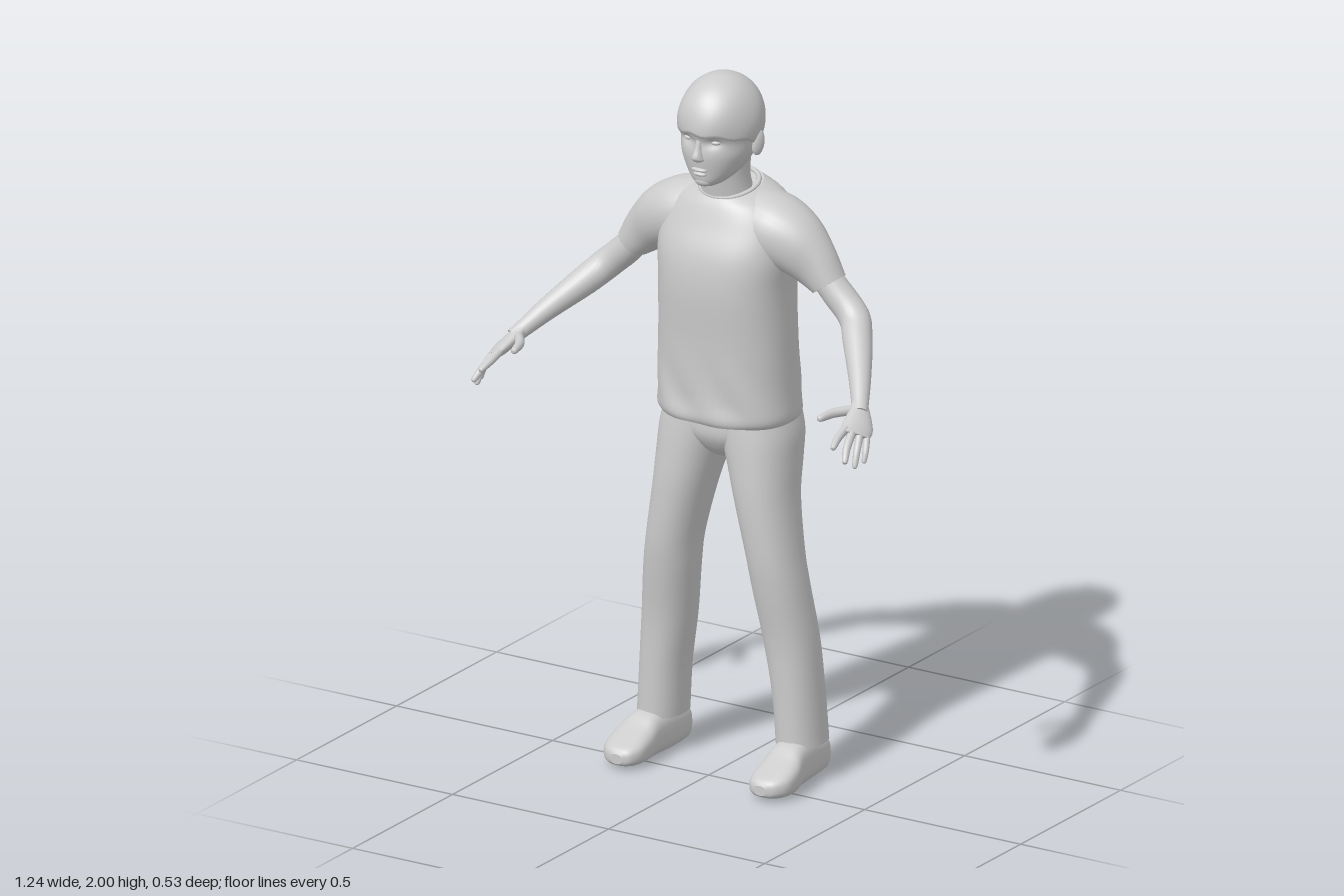
import * as THREE from 'three';

const clay = new THREE.MeshStandardMaterial({ color: 0xcccccc, side: THREE.DoubleSide });
clay.name = 'light grey';
const V = (x, y, z) => new THREE.Vector3(x, y, z);

// Skins closed rows of points, with flat caps that keep a crisp rim
function skin(name, rows, caps = true) {
  const n = rows[0].length, pos = [], idx = [];
  rows.forEach(r => r.forEach(p => pos.push(p.x, p.y, p.z)));
  for (let i = 0; i < rows.length - 1; i++) for (let j = 0; j < n; j++) {
    const a = i * n + j, b = i * n + (j + 1) % n;
    idx.push(a, b, a + n, b, b + n, a + n);
  }
  if (caps) [rows[0], rows[rows.length - 1]].forEach((r, k) => {
    const base = pos.length / 3, c = V(0, 0, 0);
    r.forEach(p => { pos.push(p.x, p.y, p.z); c.addScaledVector(p, 1 / n); });
    pos.push(c.x, c.y, c.z);
    for (let j = 0; j < n; j++) {
      const a = base + j, b = base + (j + 1) % n;
      k ? idx.push(a, b, base + n) : idx.push(b, a, base + n);
    }
  });
  // Turn all faces outward
  const pt = i => V(pos[3 * i], pos[3 * i + 1], pos[3 * i + 2]);
  const o = new THREE.Box3().setFromPoints(rows.flat()).getCenter(V(0, 0, 0));
  let vol = 0;
  for (let i = 0; i < idx.length; i += 3) {
    const [a, b, c] = [0, 1, 2].map(k => pt(idx[i + k]).sub(o));
    vol += a.dot(b.cross(c));
  }
  if (vol < 0) idx.reverse();
  const g = new THREE.BufferGeometry();
  g.setAttribute('position', new THREE.Float32BufferAttribute(pos, 3));
  g.setIndex(idx);
  g.computeVertexNormals();
  const m = new THREE.Mesh(g, clay);
  m.name = name;
  return m;
}

// Smooth loft through rings [centre xyz, axis u xyz, axis v xyz], superelliptic with power p
function loft(name, rings, { n = 32, p = 2, sub = 5, warp } = {}) {
  const at = i => rings[Math.max(0, Math.min(rings.length - 1, i))];
  const cr = (a, b, c, d, t) => b + 0.5 * t * (c - a + t * (2 * a - 5 * b + 4 * c - d + t * (3 * (b - c) + d - a)));
  const rows = [], steps = (rings.length - 1) * sub;
  for (let s = 0; s <= steps; s++) {
    const i = Math.min(Math.floor(s / sub), rings.length - 2), t = s / sub - i;
    const q = at(i).map((_, k) => cr(at(i - 1)[k], at(i)[k], at(i + 1)[k], at(i + 2)[k], t));
    const row = [];
    for (let j = 0; j < n; j++) {
      const a = j / n * Math.PI * 2, c = Math.cos(a), d = Math.sin(a);
      const e = Math.sign(c) * Math.abs(c) ** (2 / p), f = Math.sign(d) * Math.abs(d) ** (2 / p);
      const w = V(q[0] + e * q[3] + f * q[6], q[1] + e * q[4] + f * q[7], q[2] + e * q[5] + f * q[8]);
      if (warp) warp(w);
      row.push(w);
    }
    rows.push(row);
  }
  return skin(name, rows);
}

// Level ring from its extents; tilt lowers the front
const level = (y, x0, x1, z0, z1, tilt = 0) =>
  [(x0 + x1) / 2, y, (z0 + z1) / 2, (x1 - x0) / 2, 0, 0, 0, -tilt, (z1 - z0) / 2];

// Round limb through [x, y, z, radius] points
function limb(name, pts, n = 16) {
  const rings = pts.map((q, i) => {
    const a = pts[Math.max(0, i - 1)], b = pts[Math.min(pts.length - 1, i + 1)];
    const t = V(b[0] - a[0], b[1] - a[1], b[2] - a[2]).normalize();
    const u = V(0, 1, 0).addScaledVector(t, -t.y).normalize(), v = t.clone().cross(u);
    return [q[0], q[1], q[2], ...u.multiplyScalar(q[3]).toArray(), ...v.multiplyScalar(q[3]).toArray()];
  });
  return loft(name, rings, { n });
}

function blob(name, x, y, z, rx, ry, rz) {
  const m = new THREE.Mesh(new THREE.SphereGeometry(1, 20, 14), clay);
  m.name = name;
  m.position.set(x, y, z);
  m.scale.set(rx, ry, rz);
  return m;
}

function makeHead() {
  const g = new THREE.Group();
  g.name = 'head';
  g.add(loft('neck', [
    level(1.62, -0.08, 0.08, -0.18, -0.03), level(1.69, -0.069, 0.069, -0.155, -0.018),
    level(1.74, -0.068, 0.068, -0.155, -0.01), level(1.8, -0.075, 0.075, -0.165, -0.01)]));
  g.add(loft('face', [
    level(1.702, -0.022, 0.022, -0.03, 0.024), level(1.715, -0.045, 0.045, -0.07, 0.04),
    level(1.745, -0.074, 0.074, -0.12, 0.046), level(1.79, -0.096, 0.096, -0.16, 0.053),
    level(1.83, -0.103, 0.103, -0.18, 0.052), level(1.87, -0.108, 0.108, -0.185, 0.06),
    level(1.93, -0.09, 0.09, -0.165, 0.04), level(1.975, -0.04, 0.04, -0.11, -0.02)],
  { n: 64, p: 2.15, sub: 8, warp: w => { // eye sockets
    const d = ((Math.abs(w.x) - 0.042) / 0.022) ** 2 + ((w.y - 1.836) / 0.015) ** 2;
    if (w.z > 0) w.z -= 0.011 * Math.exp(-d);
  } }));
  // Hair cap: low at the nape, short over the brow
  const rows = [];
  for (let i = 0; i <= 25; i++) {
    const row = [];
    for (let j = 0; j < 48; j++) {
      const a = j / 48 * Math.PI * 2, c = Math.cos(a);
      const end = (112 - 22 * c + 6 * c * c + 1.5 * Math.sin(9 * a)) * Math.PI / 180;
      const f = end * Math.min(i, 24) / 24, k = (i === 25 ? 0.88 : 1) * (1 + 0.01 * Math.sin(5 * a + 4 * f) * Math.sin(f));
      row.push(V(0.114 * k * Math.sin(f) * Math.sin(a), 1.87 + 0.13 * Math.cos(f), -0.066 + 0.133 * k * Math.sin(f) * c));
    }
    rows.push(row);
  }
  g.add(skin('hair', rows, false));
  g.add(loft('nose', [
    level(1.778, -0.008, 0.008, 0.03, 0.056), level(1.785, -0.018, 0.018, 0.03, 0.068),
    level(1.796, -0.015, 0.015, 0.03, 0.073), level(1.82, -0.01, 0.01, 0.03, 0.062),
    level(1.85, -0.01, 0.01, 0.03, 0.052)], { n: 16 }));
  g.add(blob('upperLip', 0, 1.755, 0.045, 0.025, 0.006, 0.012));
  g.add(blob('lowerLip', 0, 1.742, 0.042, 0.021, 0.007, 0.012));
  g.add(blob('chin', 0, 1.718, 0.025, 0.028, 0.016, 0.018));
  for (const s of [-1, 1]) {
    g.add(blob('eye', s * 0.042, 1.836, 0.026, 0.016, 0.008, 0.015));
    const brow = blob('eyebrow', s * 0.043, 1.856, 0.041, 0.023, 0.005, 0.009);
    brow.rotation.set(0, s * 0.35, s * 0.12);
    g.add(brow);
    const ear = blob('ear', s * 0.106, 1.815, -0.082, 0.012, 0.036, 0.021);
    ear.rotation.set(-0.2, s * -0.3, 0);
    g.add(ear);
  }
  return g;
}

function makeShirt() {
  const g = new THREE.Group();
  g.name = 'shirt';
  g.add(loft('shirtBody', [
    level(1.02, -0.195, 0.195, -0.258, 0.04), level(1.04, -0.203, 0.203, -0.262, 0.047),
    level(1.1, -0.2, 0.2, -0.252, 0.043), level(1.25, -0.194, 0.194, -0.245, 0.047),
    level(1.4, -0.19, 0.19, -0.248, 0.056), level(1.5, -0.197, 0.197, -0.25, 0.045),
    level(1.58, -0.19, 0.19, -0.248, 0.012), level(1.64, -0.15, 0.15, -0.228, -0.01, 0.01),
    level(1.672, -0.088, 0.088, -0.192, -0.024, 0.02)],
  { n: 64, p: 2.4, warp: w => { // hem folds and spine hollow
    const hem = Math.max(0, 1 - Math.abs(w.y - 1.08) / 0.15);
    w.z += 0.005 * hem * Math.sin(w.x * 45 + w.y * 30);
    if (w.z < -0.15) w.z += 0.018 * Math.exp(-((w.x / 0.045) ** 2)) * Math.exp(-(((w.y - 1.35) / 0.18) ** 2));
  } }));
  const collar = new THREE.Mesh(new THREE.TorusGeometry(0.08, 0.007, 10, 40), clay);
  collar.name = 'collar';
  collar.rotation.x = Math.PI / 2 + 0.24;
  collar.position.set(0, 1.673, -0.107);
  g.add(collar);
  for (const s of [-1, 1]) g.add(loft('sleeve', [
    [0.06, 1.572, -0.125, 0.005, 0.1, 0, 0, 0, 0.1], [0.15, 1.56, -0.12, 0.018, 0.095, 0, 0, 0, 0.105],
    [0.225, 1.53, -0.117, 0.025, 0.082, 0, 0, 0, 0.085], [0.275, 1.485, -0.117, 0.035, 0.058, 0, 0, 0, 0.062],
    [0.312, 1.437, -0.117, 0.04, 0.028, 0, 0, 0, 0.051],
  ].map(r => [s * r[0], r[1], r[2], s * r[3], ...r.slice(4)]), { p: 2.1 }));
  return g;
}

function makeArm(s) {
  const g = new THREE.Group();
  g.name = s > 0 ? 'leftArm' : 'rightArm';
  const mir = pts => pts.map(q => [s * q[0], ...q.slice(1)]);
  g.add(limb('arm', mir([[0.28, 1.475, -0.118, 0.04], [0.335, 1.415, -0.122, 0.043], [0.395, 1.36, -0.112, 0.043],
    [0.435, 1.318, -0.066, 0.041], [0.5, 1.25, 0.024, 0.031], [0.54, 1.203, 0.085, 0.024], [0.555, 1.185, 0.11, 0.022]]), 24));
  // Palm widens from the wrist to the knuckles
  g.add(loft('palm', [
    [0.535, 1.208, 0.078, 0.012, -0.01, -0.014, 0.012, 0.014, 0.004],
    [0.555, 1.182, 0.11, 0.022, -0.013, -0.02, 0.012, 0.014, 0.004],
    [0.572, 1.157, 0.148, 0.03, -0.016, -0.029, 0.011, 0.013, 0.004],
    [0.58, 1.145, 0.176, 0.028, -0.016, -0.029, 0.007, 0.009, 0.003]].map(r => r.map((v, k) => k % 3 ? v : s * v)), { n: 24 }));
  const fingers = {
    thumb: [0.54, 1.192, 0.11, 0.503, 1.19, 0.16, 0.488, 1.186, 0.214, 0.013],
    indexFinger: [0.555, 1.163, 0.18, 0.557, 1.148, 0.222, 0.565, 1.13, 0.262, 0.011],
    middleFinger: [0.573, 1.152, 0.178, 0.583, 1.124, 0.218, 0.596, 1.09, 0.25, 0.011],
    ringFinger: [0.589, 1.142, 0.165, 0.6, 1.108, 0.195, 0.606, 1.068, 0.216, 0.01],
    littleFinger: [0.6, 1.135, 0.146, 0.611, 1.105, 0.168, 0.614, 1.074, 0.182, 0.009],
  };
  for (const [name, f] of Object.entries(fingers)) {
    const r = f[9], tip = V(...f.slice(6, 9)), mid = V(...f.slice(3, 6));
    const near = tip.clone().lerp(mid, 0.15).toArray();
    g.add(limb(name, mir([[...f.slice(0, 3), r * 1.1], [...mid.toArray(), r], [...near, r * 0.75], [...tip.toArray(), r * 0.25]]), 12));
  }
  return g;
}

function makeLeg(s) {
  const g = new THREE.Group();
  g.name = s > 0 ? 'leftLeg' : 'rightLeg';
  // Trouser leg rows: height, inner x, outer x, back z, front z
  const rows = [[1.05, -0.02, 0.185, -0.245, -0.005], [0.98, -0.01, 0.203, -0.243, 0.002], [0.9, 0.018, 0.207, -0.222, 0.007],
    [0.8, 0.048, 0.212, -0.193, 0.01], [0.65, 0.085, 0.232, -0.175, 0.004], [0.55, 0.1, 0.248, -0.176, -0.008],
    [0.4, 0.122, 0.267, -0.192, -0.031], [0.25, 0.147, 0.278, -0.2, -0.038], [0.108, 0.158, 0.287, -0.205, -0.04]];
  g.add(loft('trouserLeg', rows.map(([y, a, b, c, d]) => level(y, s * a, s * b, c, d)), { n: 40, p: 2.2 }));
  // Shoe rows from heel to toe: z, centre x, half width, bottom, top
  const shoe = [[-0.204, 0.222, 0.028, 0.02, 0.075], [-0.19, 0.222, 0.047, 0.006, 0.115], [-0.12, 0.224, 0.051, 0, 0.13],
    [-0.04, 0.23, 0.055, 0, 0.125], [0.01, 0.235, 0.062, 0, 0.098], [0.06, 0.235, 0.06, 0.003, 0.075],
    [0.092, 0.232, 0.042, 0.01, 0.06], [0.104, 0.23, 0.018, 0.018, 0.046]];
  g.add(loft('shoe', shoe.map(([z, x, w, b, t]) => [s * x, (b + t) / 2, z, w, 0, 0, 0, (t - b) / 2, 0]), { p: 2.7 }));
  return g;
}

export function createModel() {
  const model = new THREE.Group();
  model.name = 'standingFigure';
  model.add(makeHead(), makeShirt());
  model.add(loft('trouserSeat', [
    level(1.05, -0.18, 0.18, -0.24, -0.005), level(0.98, -0.165, 0.165, -0.235, 0),
    level(0.935, -0.1, 0.1, -0.205, -0.02), level(0.905, -0.04, 0.04, -0.16, -0.05)], { n: 40, p: 2.3 }));
  for (const s of [-1, 1]) model.add(makeArm(s), makeLeg(s));
  return model;
}
